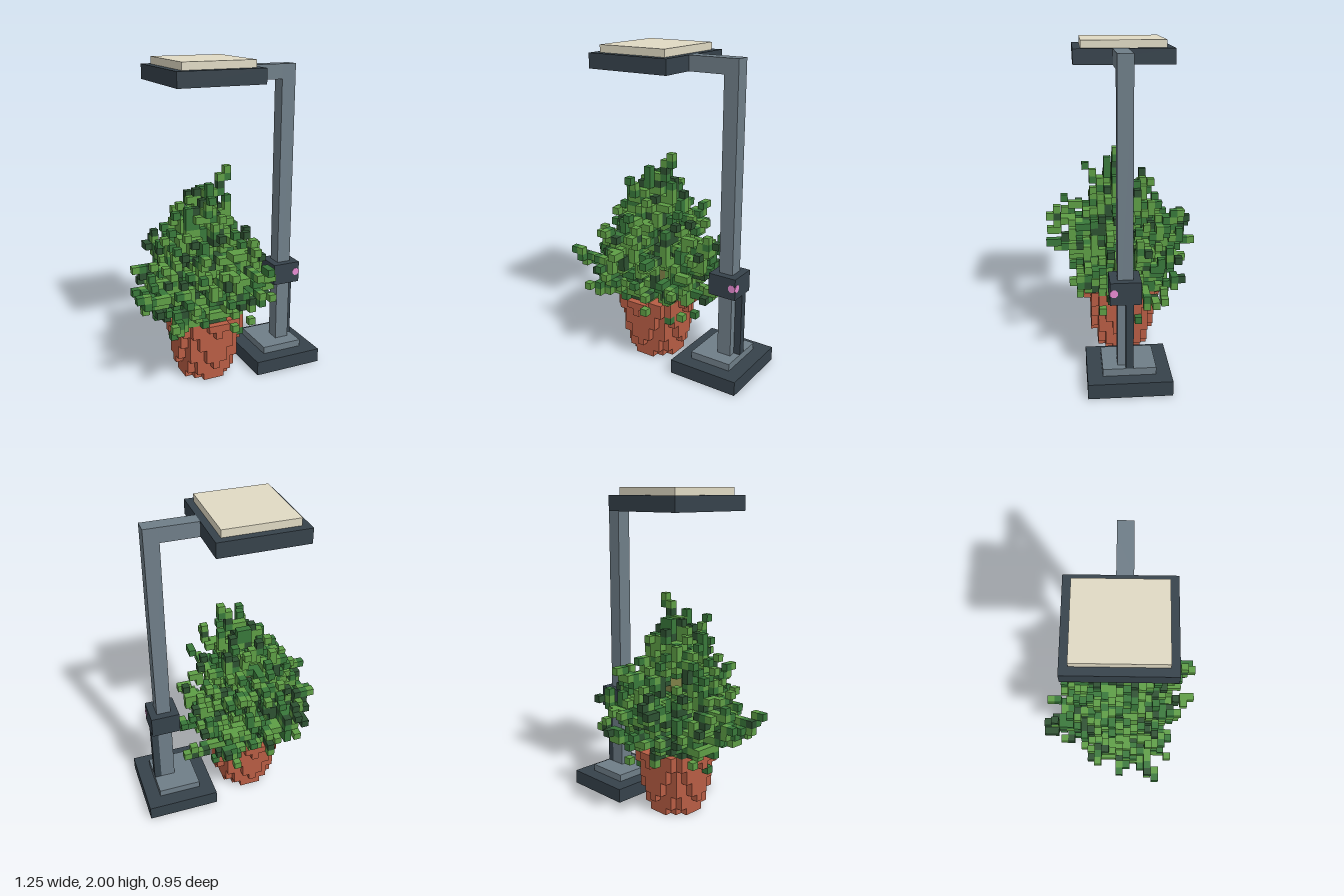
import * as THREE from 'three';
import { mergeGeometries } from 'three/addons/utils/BufferGeometryUtils.js';

const U = 2 / 44; // cube size
const CX = -0.103; // plant axis

const mat = (name, color) => {
  const m = new THREE.MeshStandardMaterial({ color });
  m.name = name;
  return m;
};

// Seeded random numbers
function seeded(seed) {
  return () => {
    seed = (seed * 1664525 + 1013904223) % 4294967296;
    return seed / 4294967296;
  };
}

// Box geometry from its low and high corners
function span(x0, x1, y0, y1, z0, z1) {
  return new THREE.BoxGeometry(x1 - x0, y1 - y0, z1 - z0)
    .translate((x0 + x1) / 2, (y0 + y1) / 2, (z0 + z1) / 2);
}

// Cube at a cell of the plant grid, optionally several cells wide and high
function cell(i, j, k, w = 1, h = 1) {
  return new THREE.BoxGeometry(w * U, h * U, U)
    .translate(CX + i * U, (j + h / 2) * U, k * U - 0.0025);
}

// Openings in the bush that let the trunk show
function inOpening(i, j, k) {
  const mid = (i + k) / 2;
  const diagonal = Math.abs(i - k) <= 1;
  const front = diagonal && mid >= 0 && Math.abs(j - 10.3 - 0.8 * mid) <= 1.2;
  const back = diagonal && mid <= 0 && Math.abs(j - 16.5 + 0.8 * mid) <= 1.5;
  const side = i > 0 && k === -1 && j >= 15 && j <= 19;
  return front || back || side;
}

export function createModel() {
  const model = new THREE.Group();
  const m = {
    dark: mat('dark metal', 0x36424b),
    grey: mat('grey metal', 0x6f7e88),
    cream: mat('cream', 0xe0dac4),
    pink: mat('pink light', 0xe88cd2),
    amber: mat('amber light', 0xe2bd72),
    clay: mat('terracotta', 0xb85d44),
    trunk: mat('trunk olive', 0x7f8048),
    light: mat('light green', 0x5e9e45),
    mid: mat('mid green', 0x38783a),
    deep: mat('deep green', 0x2d5131),
  };
  const add = (parent, name, geometry, material) => {
    const mesh = new THREE.Mesh(geometry, material);
    mesh.name = name;
    parent.add(mesh);
  };

  // Lamp stand, arm and head
  const lamp = new THREE.Group();
  lamp.name = 'lamp';
  model.add(lamp);
  add(lamp, 'base', span(0.167, 0.622, 0, 0.091, -0.25, 0.247), m.dark);
  add(lamp, 'baseStep', span(0.26, 0.531, 0.091, 0.136, -0.16, 0.156), m.grey);
  add(lamp, 'pole', span(0.396, 0.487, 0.136, 1.955, -0.025, 0.066), m.grey);
  add(lamp, 'arm', span(0.167, 0.396, 1.864, 1.955, -0.025, 0.066), m.grey);
  add(lamp, 'cable', span(0.487, 0.532, 0.136, 0.546, -0.025, 0.02), m.dark);
  add(lamp, 'controlBox', span(0.35, 0.532, 0.546, 0.682, -0.07, 0.111), m.dark);
  // Eight-sided button spots on the two outer faces of the box
  const spot = () => new THREE.CylinderGeometry(0.025, 0.025, 0.004, 8).rotateY(Math.PI / 8).rotateX(Math.PI / 2);
  add(lamp, 'frontButton', spot().translate(0.508, 0.617, 0.111), m.pink);
  add(lamp, 'sideButton', spot().rotateY(Math.PI / 2).translate(0.532, 0.617, 0.089), m.pink);
  add(lamp, 'lampHead', span(-0.377, 0.167, 1.8645, 1.955, -0.297, 0.294), m.dark);
  add(lamp, 'lampLid', span(-0.33, 0.124, 1.955, 2, -0.25, 0.248), m.cream);
  add(lamp, 'outerLight', span(-0.33, 0.124, 1.8637, 1.866, -0.25, 0.248), m.amber);
  add(lamp, 'innerLight', span(-0.241, 0.035, 1.8629, 1.865, -0.16, 0.157), m.pink);

  // Round pot that widens a little on every row
  const potParts = [];
  for (let j = 0; j < 9; j++) {
    const r = j < 2 ? 3.2 + 0.45 * j : 3.65 + 0.2 * j;
    for (let k = -Math.floor(r); k <= r; k++) {
      potParts.push(cell(0, j, k, 2 * Math.floor(Math.sqrt(r * r - k * k)) + 1));
    }
  }
  add(model, 'pot', mergeGeometries(potParts), m.clay);
  add(model, 'trunk', mergeGeometries([cell(0.5, 9, -1, 2, 12), cell(0.5, 9, 0, 2, 11)]), m.trunk);

  // Foliage grown as cube twigs
  const rand = seeded(23);
  const leaves = { light: [], mid: [], deep: [] };
  const used = new Set();
  const leaf = (i, j, k) => {
    const key = `${i},${j},${k}`;
    const inTrunk = j < 21 && (i === 0 || i === 1) && (k === 0 || k === -1);
    if (used.has(key) || inTrunk || inOpening(i, j, k)) return;
    used.add(key);
    const c = rand();
    leaves[c < 0.49 ? 'light' : c < 0.82 ? 'mid' : 'deep'].push(cell(i, j, k));
  };
  // A twig rises towards its tip and carries side leaves
  const twig = (i, j, k, rise, bushy) => {
    const steps = Math.ceil(Math.max(Math.hypot(i, k), rise) * 1.3);
    for (let s = 1; s <= steps; s++) {
      const t = s / steps;
      const p = [Math.round(i * t), Math.round(j - rise * (1 - t * t)), Math.round(k * t)];
      if (p[1] < 9) p[1] = 9;
      leaf(...p);
      if (t > 0.3 && t < 0.95 && rand() < bushy) {
        p[Math.floor(rand() * 3)] += rand() < 0.5 ? -1 : 1;
        if (p[1] > 7) leaf(...p);
      }
    }
  };

  // Bush outline: radius in cells for each row from row 9 up
  const radii = [6.8, 7.7, 8, 8.1, 8.3, 8.4, 8.4, 8.1, 7.7, 7.2, 6.8, 6.4, 5.5, 4.4, 3.8, 3.1, 2.3, 1.5];
  radii.forEach((r, n) => {
    const count = Math.round(3 + r);
    for (let q = 0; q < count; q++) {
      const a = (q / count) * Math.PI * 2 + n * 2.4;
      const len = r * (0.62 + 0.4 * rand());
      twig(Math.round(Math.cos(a) * len), 9 + n, Math.round(Math.sin(a) * len), Math.min(n, 3), 0.5);
    }
  });

  // Long shoots that break the outline
  const shoots = [
    [-11, 14, 5], [-10, 13, 0], [-9, 15, -3], [-8, 17, 2], [-7, 10, 7], [10, 10, -5], [10, 11, 1],
    [8, 15, -7], [8, 14, 5], [7, 17, -2], [6, 20, 1], [-5, 16, -10], [-4, 17, -10], [-3, 15, -9],
    [0, 15, -10], [3, 20, -8], [0, 17, 10], [3, 20, 10], [5, 17, 10], [-3, 19, 8], [-6, 20, 1], [-5, 21, -2],
    [1, 22, 8], [-3, 24, 2], [-3, 23, -3], [3, 25, 1], [-1, 25, -3], [0, 27, 2], [-1, 26, 5], [1, 24, -4],
    [3, 29, 1], [-9, 12, 3], [7, 12, 7], [-5, 12, -8], [5, 11, -8], [-8, 13, -4],
  ];
  for (const [i, j, k] of shoots) twig(i, j, k, j > 22 ? 5 : 3, 0.6);
  // Leader at the top
  for (let j = 20; j < 29; j++) leaf(j > 26 ? 2 : j > 23 ? 1 : 0, j, j > 25 ? 1 : 0);
  // Stray leaves hanging over the rim
  const strays = [[5, 5, -2], [4, 6, 3], [-5, 6, 1], [6, 7, 3], [-6, 8, -3], [2, 8, 6], [-2, 8, -6], [5, 8, -4], [3, 7, -6]];
  for (const c of strays) leaf(...c);

  for (const tone of Object.keys(leaves)) {
    add(model, `${tone}Leaves`, mergeGeometries(leaves[tone]), m[tone]);
  }
  return model;
}
